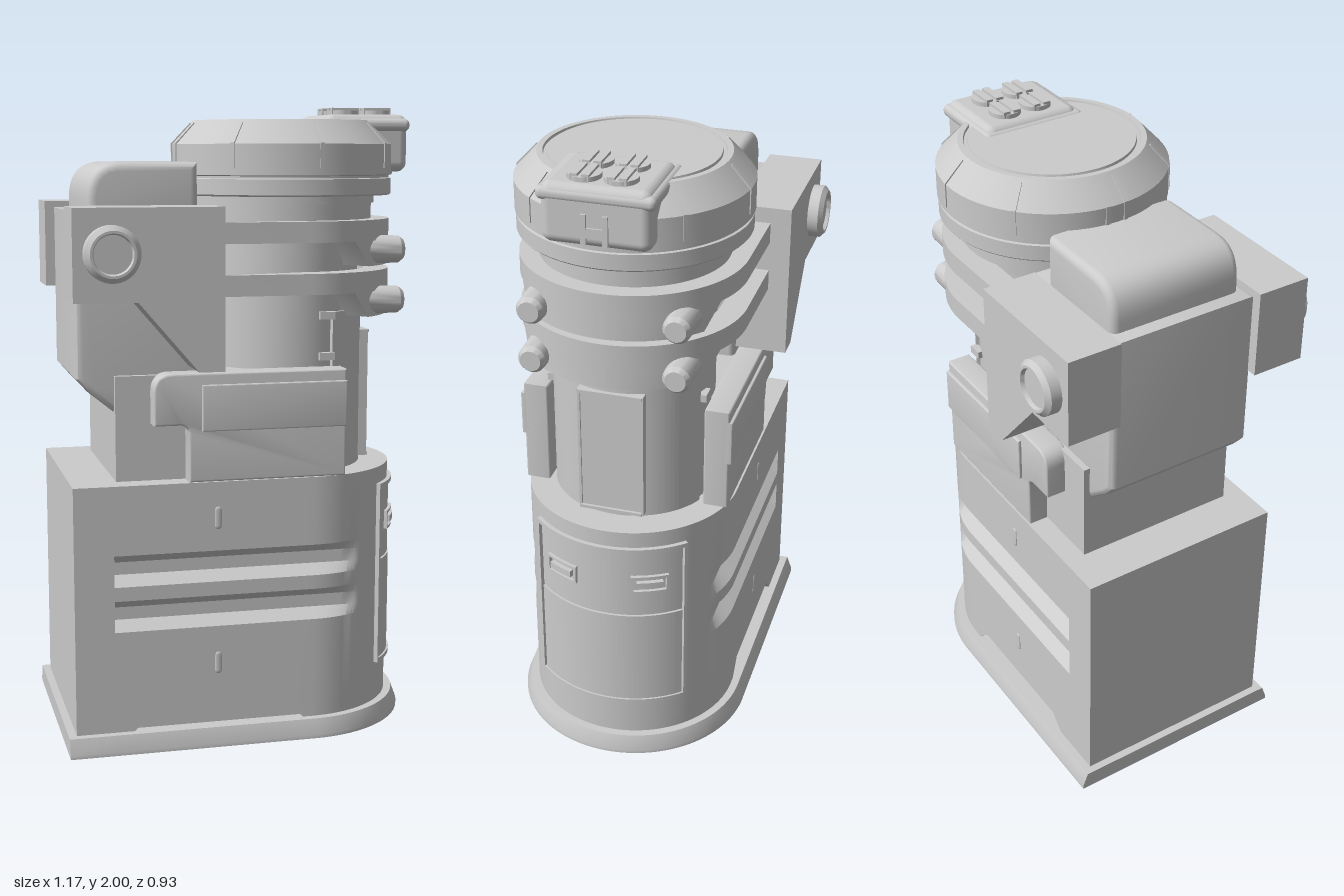
import * as THREE from 'three';
import { toCreasedNormals } from 'three/addons/utils/BufferGeometryUtils.js';
import { RoundedBoxGeometry } from 'three/addons/geometries/RoundedBoxGeometry.js';

const CX = 0.18; // axis of the column and head
const BX = 0.2; // centre of the rounded end of the base
const mat = new THREE.MeshStandardMaterial({ color: 0xcccccc, side: THREE.DoubleSide });

export function createModel() {
  const model = new THREE.Group();

  const add = (name, geo, x = 0, y = 0, z = 0, crease = 0.5) => {
    const m = new THREE.Mesh(crease ? toCreasedNormals(geo, crease) : geo, mat);
    m.name = name;
    m.position.set(x, y, z);
    model.add(m);
    return m;
  };
  const box = (name, x0, x1, y0, y1, z0, z1) =>
    add(name, new THREE.BoxGeometry(x1 - x0, y1 - y0, z1 - z0), (x0 + x1) / 2, (y0 + y1) / 2, (z0 + z1) / 2);
  const poly = pts => new THREE.Shape(pts.map(p => new THREE.Vector2(...p)));
  const both = fn => [1, -1].forEach(fn);

  // side profile pushed along z from z0 to z1, with an optional bevel
  const slab = (name, shape, z0, z1, bevel = 0) => add(name, new THREE.ExtrudeGeometry(shape, {
    depth: z1 - z0 - 2 * bevel, bevelEnabled: bevel > 0, bevelSize: bevel, bevelOffset: -bevel,
    bevelThickness: bevel, bevelSegments: 4, curveSegments: 12,
  }).translate(0, 0, z0 + bevel));
  // the same slab on one side s of the model
  const sideSlab = (name, shape, s, z0, z1, bevel) =>
    s > 0 ? slab(name, shape, z0, z1, bevel) : slab(name, shape, -z1, -z0, bevel);
  // plan shape raised from y0 to y1
  const raise = (shape, y0, y1) => new THREE.ExtrudeGeometry(shape, { depth: y1 - y0, bevelEnabled: false, curveSegments: 40 })
    .rotateX(-Math.PI / 2).translate(0, y0, 0);
  // curved plate around a vertical axis, from angle a0 to a1
  const arcShape = (cx, r0, r1, a0, a1) => {
    const s = new THREE.Shape();
    s.absarc(cx, 0, r1, a0, a1, false);
    s.absarc(cx, 0, r0, a1, a0, true);
    return s;
  };
  const arcPlate = (name, cx, r0, r1, a0, a1, y0, y1) => add(name, raise(arcShape(cx, r0, r1, a0, a1), y0, y1));

  // skin over closed rings stacked upward, with both ends capped
  const loft = rings => {
    const pos = [], idx = [], n = rings[0].length;
    rings.forEach(r => r.forEach(p => pos.push(...p)));
    for (let k = 0; k < rings.length - 1; k++) for (let i = 0; i < n; i++) {
      const a = k * n + i, b = k * n + (i + 1) % n;
      idx.push(a, b, b + n, a, b + n, a + n);
    }
    const top = (rings.length - 1) * n, c = rings.length * n;
    pos.push(0, rings[0][0][1], 0, 0, rings.at(-1)[0][1], 0);
    for (let i = 0; i < n; i++) {
      const j = (i + 1) % n;
      idx.push(c, j, i, c + 1, top + i, top + j);
    }
    const g = new THREE.BufferGeometry();
    g.setAttribute('position', new THREE.Float32BufferAttribute(pos, 3));
    g.setIndex(idx);
    return g;
  };
  // D-shaped ring: side cut to half-width w beyond x = -0.44, foot recess of depth d
  const dRing = (y, xl, r, w = r, d = 0, inset = 0) => {
    const cut = Math.min(r, w), a = -0.38 + inset, b = 0.17 - inset;
    const half = [[xl, r], [-0.44, r], [-0.44, cut], [a, cut], [a, cut - d], [b, cut - d], [b, cut]];
    for (let i = 0; i <= 40; i++) {
      const t = (1 - i / 40) * Math.PI / 2;
      half.push([BX + r * Math.cos(t), Math.min(cut, r * Math.sin(t))]);
    }
    const back = half.slice(0, -1).reverse().map(([x, z]) => [x, -z]);
    return [...half, ...back].map(([x, z]) => [x, y, z]);
  };

  // base
  add('plinth', loft([dRing(0, -0.59, 0.383), dRing(0.012, -0.59, 0.383), dRing(0.06, -0.59, 0.365)]));
  const R = 0.34, XL = -0.565, groove = 0.298;
  const rings = [dRing(0.06, XL, R, R, 0.025), dRing(0.115, XL, R, R, 0.025, 0.05), dRing(0.115, XL, R, R, 0, 0.05)];
  for (const y of [0.385, 0.53])
    rings.push(dRing(y, XL, R), dRing(y + 0.03, XL, R, groove), dRing(y + 0.07, XL, R, groove), dRing(y + 0.1, XL, R));
  rings.push(dRing(0.85, XL, R));
  add('baseBody', loft(rings));
  both(s => {
    for (const y of [0.265, 0.735]) {
      const m = add('baseSlit', new THREE.CapsuleGeometry(0.011, 0.05, 4, 10), -0.11, y, s * R, 0);
      m.scale.z = 0.35;
    }
  });

  // door on the rounded end
  const D = 0.78;
  arcPlate('doorLower', BX, 0.32, 0.348, -D + 0.04, D - 0.04, 0.2, 0.538);
  arcPlate('doorUpper', BX, 0.32, 0.345, -D + 0.04, D - 0.04, 0.542, 0.78);
  for (const y of [0.19, 0.782]) arcPlate('doorFrameRail', BX, 0.32, 0.354, -D, D, y, y + 0.014);
  both(s => {
    const a = s * (D - 0.015);
    arcPlate('doorFramePost', BX, 0.32, 0.354, a - 0.015, a + 0.015, 0.19, 0.796);
    const c = s * 0.43;
    for (const y of [0.632, 0.686]) arcPlate('handleRim', BX, 0.33, 0.356, c - 0.17, c + 0.17, y, y + 0.008);
    for (const e of [-0.16, 0.16]) arcPlate('handleEnd', BX, 0.33, 0.356, c + e - 0.012, c + e + 0.012, 0.632, 0.694);
    arcPlate('handleGrip', BX, 0.33, 0.36, c - 0.12, c + 0.12, 0.652, 0.674);
  });

  // middle block and its side panels
  box('middleBlock', -0.42, 0.2, 0.85, 1.18, -0.27, 0.27);
  const panel = new THREE.Shape();
  panel.moveTo(-0.2, 0.85);
  panel.lineTo(0.305, 0.85);
  panel.lineTo(0.305, 1.19);
  panel.lineTo(-0.25, 1.19);
  panel.quadraticCurveTo(-0.31, 1.19, -0.31, 1.13);
  panel.lineTo(-0.31, 1.03);
  panel.lineTo(-0.23, 1.03);
  panel.quadraticCurveTo(-0.2, 1.03, -0.2, 1.0);
  both(s => {
    sideSlab('sidePanel', panel, s, 0.255, 0.335, 0.006);
    sideSlab('sidePanelPlate', poly([[-0.16, 1.01], [0.305, 1.01], [0.305, 1.155], [-0.16, 1.155]]), s, 0.32, 0.345, 0.004);
  });

  // rear block, brackets, bolts and hump
  slab('rearBlock', poly([[-0.535, 1.68], [-0.535, 1.17], [-0.5, 1.13], [-0.42, 1.065], [-0.08, 1.065], [-0.08, 1.68]]), -0.25, 0.25, 0.02);
  const bracket = poly([[-0.565, 1.7], [-0.565, 1.42], [-0.37, 1.42], [-0.185, 1.205], [-0.105, 1.205], [-0.105, 1.7]]);
  const bolt = [[0, 0.036], [0.058, 0.036], [0.062, 0.048], [0.07, 0.048], [0.085, 0.034], [0.085, -0.02]];
  both(s => {
    sideSlab('bracket', bracket, s, 0.24, 0.415);
    add('bracketBolt', new THREE.LatheGeometry(bolt.map(p => new THREE.Vector2(...p)), 40), -0.45, 1.565, s * 0.415).rotation.x = s * Math.PI / 2;
  });
  const hump = new THREE.Shape();
  hump.moveTo(-0.49, 1.6);
  hump.lineTo(-0.145, 1.6);
  hump.lineTo(-0.145, 1.83);
  hump.lineTo(-0.38, 1.83);
  hump.quadraticCurveTo(-0.49, 1.83, -0.49, 1.71);
  slab('hump', hump, -0.222, 0.222, 0.025);

  // column
  add('columnCore', new THREE.CylinderGeometry(0.25, 0.25, 0.85, 64), CX, 1.265);
  arcPlate('columnShell', CX, 0.24, 0.262, -1.15, 1.15, 0.85, 1.36);
  box('columnHatch', 0.42, 0.446, 0.87, 1.28, -0.095, 0.095);
  both(s => {
    box('hatchPost', 0.41, 0.45, 0.865, 1.285, s * 0.1 - 0.004, s * 0.1 + 0.004);
    for (const y of [1.22, 1.35]) box('columnTab', 0.24, 0.29, y - 0.012, y + 0.012, s * 0.245 - 0.012, s * 0.245 + 0.012);
  });
  for (const y of [0.865, 1.275]) box('hatchRail', 0.41, 0.455, y, y + 0.01, -0.1, 0.1);

  // clamp bands with a deeper front part and studs
  const U = new THREE.Shape();
  U.moveTo(-0.12, -0.35);
  U.lineTo(CX, -0.35);
  U.absarc(CX, 0, 0.35, -Math.PI / 2, Math.PI / 2, false);
  U.lineTo(-0.12, 0.35);
  U.lineTo(-0.12, 0.27);
  U.lineTo(CX, 0.27);
  U.absarc(CX, 0, 0.27, Math.PI / 2, -Math.PI / 2, true);
  for (const y of [1.345, 1.505]) {
    add('clampBand', raise(U, y + 0.08, y + 0.145));
    const g = raise(arcShape(CX, 0.24, 0.347, -1.12, 1.12), y, y + 0.085);
    const p = g.attributes.position;
    for (let i = 0; i < p.count; i++) { // lean the two ends inward toward the bottom
      if (p.getY(i) > y + 0.04) continue;
      const dx = p.getX(i) - CX, r = Math.hypot(dx, p.getZ(i)), a = Math.atan2(p.getZ(i), dx) * 0.81;
      p.setX(i, CX + r * Math.cos(a));
      p.setZ(i, r * Math.sin(a));
    }
    add('clampFront', g);
    both(s => {
      const stud = [[0, 0.52], [0.032, 0.52], [0.043, 0.505], [0.046, 0.41], [0.046, 0.38]];
      add('clampStud', new THREE.LatheGeometry(stud.map(q => new THREE.Vector2(...q)), 28), 0, y + 0.05, s * 0.222).rotation.z = -Math.PI / 2;
    });
  }

  // neck and head
  const head = [[0, 1.63], [0.292, 1.63], [0.292, 1.7], [0.3, 1.7], [0.3, 1.725], [0.35, 1.725], [0.355, 1.73], [0.355, 1.778],
    [0.347, 1.78], [0.347, 1.787], [0.358, 1.79], [0.358, 1.885], [0.288, 1.96], [0.27, 1.96], [0.268, 1.952], [0.258, 1.952], [0.256, 1.96], [0, 1.96]];
  add('head', new THREE.LatheGeometry(head.map(p => new THREE.Vector2(...p)), 72), CX);
  for (const deg of [40, 85, 130, 175, 185, 230, 275, 320]) {
    const rib = slab('headRib', poly([[0.34, 1.81], [0.361, 1.81], [0.361, 1.888], [0.3, 1.952], [0.285, 1.94]]), -0.007, 0.007);
    rib.position.x = CX;
    rib.rotation.y = deg * Math.PI / 180;
  }

  // lamp box with four round buttons
  add('lampTrim', new RoundedBoxGeometry(0.29, 0.04, 0.35, 4, 0.018), 0.415, 1.945, 0, 0);
  add('lampBox', new RoundedBoxGeometry(0.275, 0.18, 0.325, 5, 0.03), 0.42, 1.888, 0, 0);
  for (const x of [0.37, 0.477]) both(s => {
    add('lampButton', new THREE.CylinderGeometry(0.05, 0.05, 0.03, 32), x, 1.977, s * 0.054);
    both(t => box('buttonRidge', x - 0.045, x + 0.045, 1.98, 2, s * 0.054 + t * 0.017 - 0.011, s * 0.054 + t * 0.017 + 0.011));
  });
  both(s => box('socketPost', 0.54, 0.565, 1.81, 1.9, s * 0.032 - 0.008, s * 0.032 + 0.008));
  box('socketPlug', 0.54, 0.563, 1.83, 1.86, -0.024, 0.024);

  return model;
}
